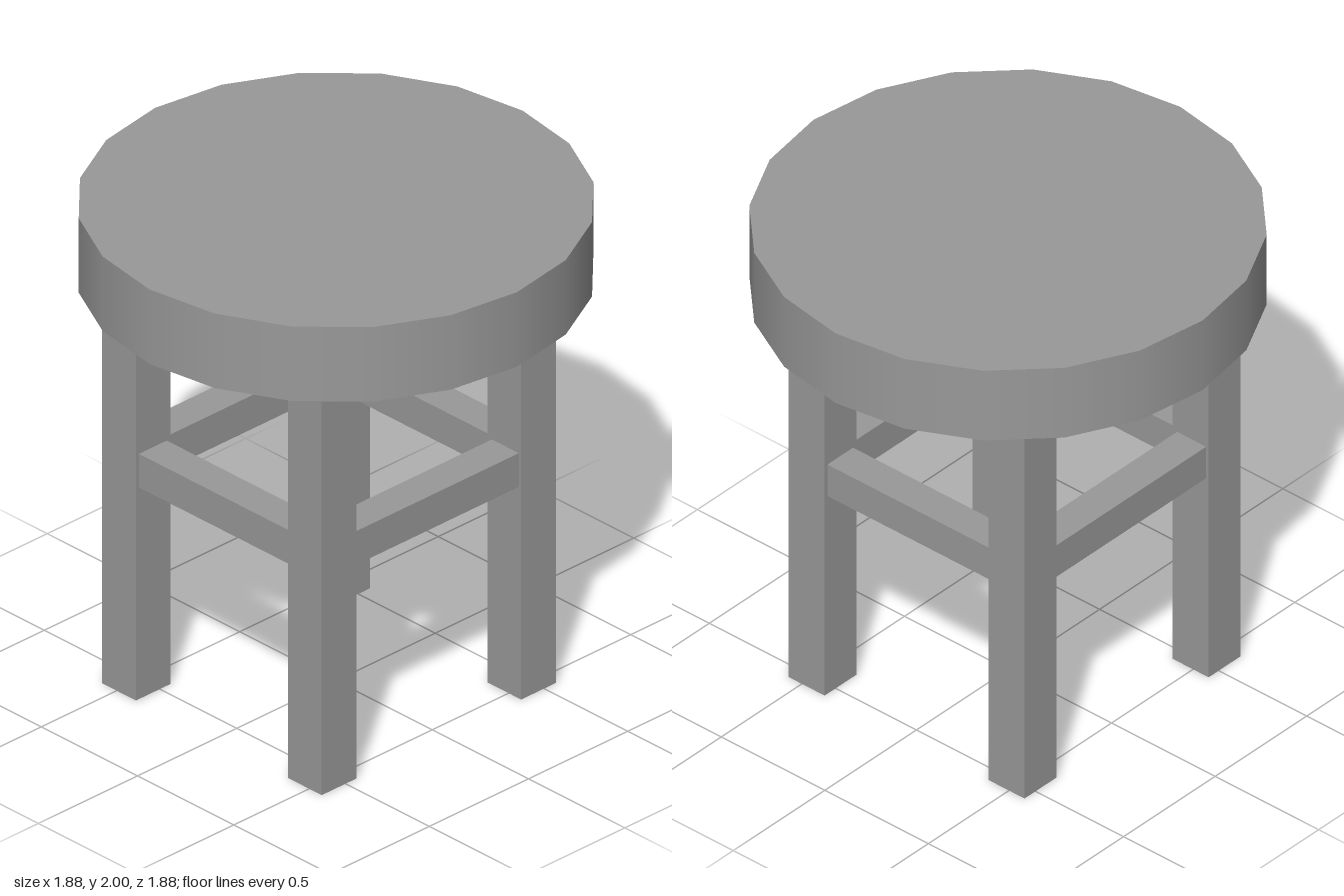
import * as THREE from 'three';

export function createModel() {
  const model = new THREE.Group();
  const grey = new THREE.MeshStandardMaterial({ color: 0x999999 });
  grey.name = 'grey';

  // Box given by its size and centre
  function addBox(name, w, h, d, x, y, z) {
    const mesh = new THREE.Mesh(new THREE.BoxGeometry(w, h, d), grey);
    mesh.name = name;
    mesh.position.set(x, y, z);
    model.add(mesh);
  }

  // Round seat: twenty sides, smooth rim
  const seatBottom = 1.69, seatTop = 2;
  const seat = new THREE.Mesh(
    new THREE.CylinderGeometry(0.94, 0.94, seatTop - seatBottom, 20), grey);
  seat.name = 'seat';
  seat.position.y = (seatTop + seatBottom) / 2;
  model.add(seat);

  // The leg frame sits slightly forward of the seat's centre
  const cx = -0.005, cz = 0.03;
  const legX = 0.4825, legZ = 0.5025, legSize = 0.175;
  const railSize = 0.14, railY = 0.95, railX = 0.488, railZ = 0.505;

  for (const s of [1, -1]) {
    const end = s > 0 ? 'front' : 'back';
    const side = s > 0 ? 'left' : 'right';

    // Square legs
    for (const t of [1, -1]) {
      addBox(end + (t > 0 ? 'Left' : 'Right') + 'Leg', legSize, seatBottom, legSize,
        cx + t * legX, seatBottom / 2, cz + s * legZ);
    }

    // Rails spanning between the inner faces of the legs
    addBox(end + 'Rail', 2 * legX - legSize, railSize, railSize, cx, railY, cz + s * railZ);
    addBox(side + 'Rail', railSize, railSize, 2 * legZ - legSize, cx + s * railX, railY, cz);
  }
  return model;
}
